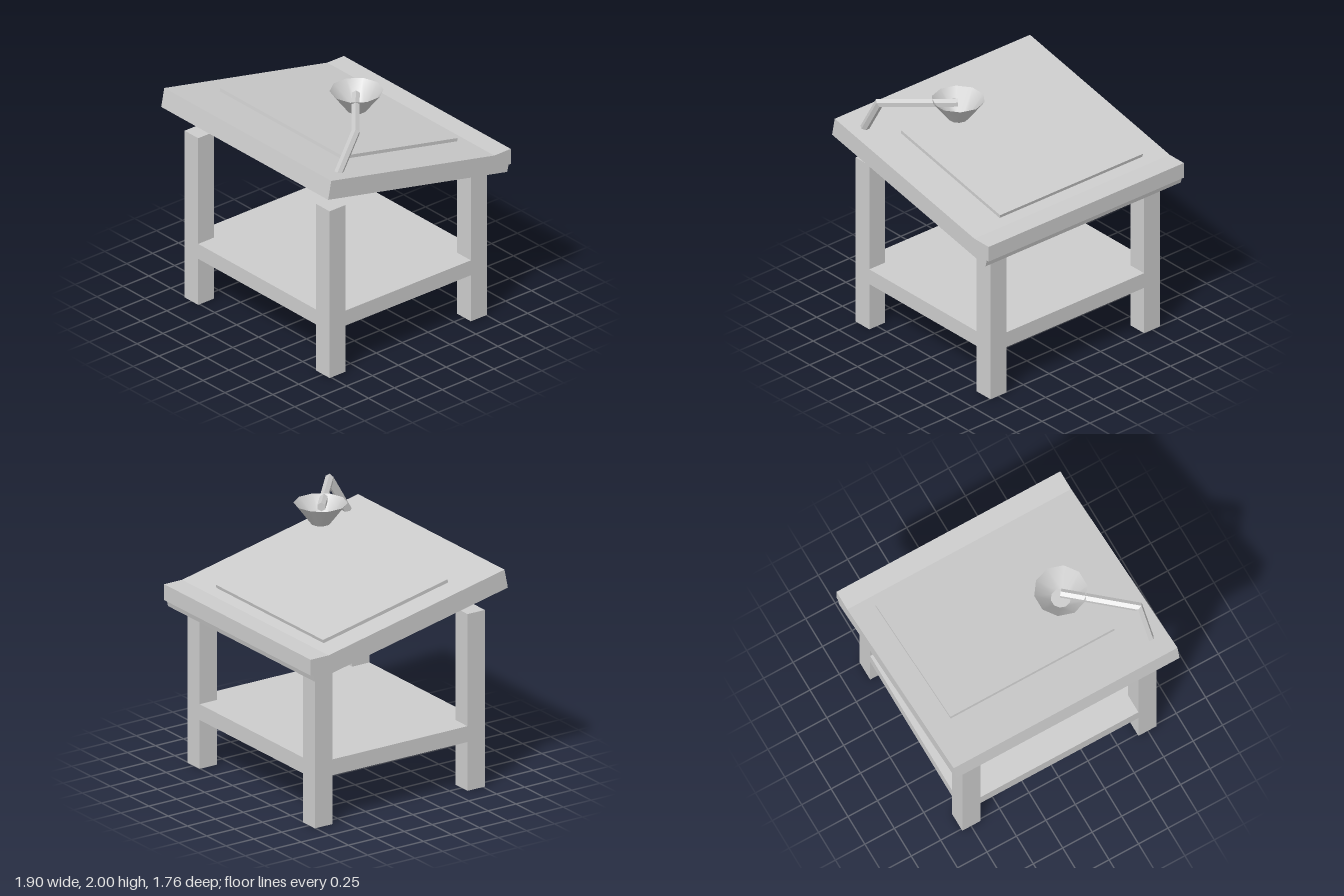
import * as THREE from 'three';

const grey = new THREE.MeshStandardMaterial({ color: 0xcccccc, side: THREE.DoubleSide });
grey.name = 'plain grey';

function addMesh(parent, name, geometry) {
  const mesh = new THREE.Mesh(geometry, grey);
  mesh.name = name;
  parent.add(mesh);
  return mesh;
}

const shapeOf = (pts) => new THREE.Shape(pts.map(([a, b]) => new THREE.Vector2(a, b)));

// Side profile of (z, y) points, extruded across from x0 to x1
function acrossX(profile, x0, x1) {
  const g = new THREE.ExtrudeGeometry(shapeOf(profile), { depth: x1 - x0, bevelEnabled: false });
  g.rotateY(-Math.PI / 2);
  g.translate(x1, 0, 0);
  return g;
}

// Mitred prism with a regular section following a polyline
function mitredRod(path, radius, sides) {
  const dirs = path.slice(1).map((p, i) => p.clone().sub(path[i]).normalize());
  const u = new THREE.Vector3(1, 0, 0);
  const v = new THREE.Vector3().crossVectors(dirs[0], u).normalize();
  const rings = [];
  for (let i = 0; i < path.length; i++) {
    const along = dirs[Math.max(i - 1, 0)];
    const normal = along.clone().add(dirs[Math.min(i, dirs.length - 1)]).normalize();
    const ring = [];
    for (let k = 0; k < sides; k++) {
      const a = (k / sides) * Math.PI * 2;
      const p = i === 0
        ? path[0].clone().addScaledVector(u, radius * Math.cos(a)).addScaledVector(v, radius * Math.sin(a))
        : rings[i - 1][k].clone();
      // slide the point along the rod onto the joint plane
      const t = path[i].clone().sub(p).dot(normal) / along.dot(normal);
      ring.push(p.addScaledVector(along, t));
    }
    rings.push(ring);
  }
  const pos = [];
  const tri = (...pts) => pts.forEach((p) => pos.push(p.x, p.y, p.z));
  const last = rings.length - 1;
  for (let k = 0; k < sides; k++) {
    const n = (k + 1) % sides;
    for (let i = 0; i < last; i++) {
      const [a, b, c, d] = [rings[i][k], rings[i][n], rings[i + 1][n], rings[i + 1][k]];
      tri(a, b, c);
      tri(a, c, d);
    }
    tri(path[0], rings[0][n], rings[0][k]);
    tri(path[last], rings[last][k], rings[last][n]);
  }
  const g = new THREE.BufferGeometry();
  g.setAttribute('position', new THREE.Float32BufferAttribute(pos, 3));
  g.computeVertexNormals();
  return g;
}

export function createModel() {
  const model = new THREE.Group();
  model.name = 'draftingTable';

  // Four square legs
  const legHeight = 1.393;
  for (const [sx, sideName] of [[1, 'left'], [-1, 'right']]) {
    for (const [z, endName] of [[0.6875, 'Front'], [-0.6775, 'Back']]) {
      const leg = addMesh(model, `${sideName}${endName}Leg`, new THREE.BoxGeometry(0.155, legHeight, 0.155));
      leg.position.set(sx * 0.7475, legHeight / 2, z);
    }
  }

  // Low shelf, flush with the legs and notched around them
  const [xo, xi, zf, zfi, zb, zbi] = [0.825, 0.67, 0.765, 0.61, -0.755, -0.6];
  const shelf = new THREE.ExtrudeGeometry(shapeOf([
    [-xi, -zf], [xi, -zf], [xi, -zfi], [xo, -zfi], [xo, -zbi], [xi, -zbi],
    [xi, -zb], [-xi, -zb], [-xi, -zbi], [-xo, -zbi], [-xo, -zfi], [-xi, -zfi],
  ]), { depth: 0.125, bevelEnabled: false });
  shelf.rotateX(-Math.PI / 2);
  shelf.translate(0, 0.385, 0);
  addMesh(model, 'shelf', shelf);

  // Sloping top with a level ledge at its low edge
  addMesh(model, 'tableTop', acrossX([
    [0.885, 1.582], [0.855, 1.73], [-0.72, 1.395], [-0.88, 1.395],
    [-0.88, 1.27], [-0.858, 1.27], [-0.845, 1.215],
  ], -0.95, 0.95));

  // Thin drawing board lying on the slope
  addMesh(model, 'drawingBoard', acrossX([
    [0.482, 1.645], [0.476, 1.676], [-0.638, 1.439], [-0.632, 1.408],
  ], -0.76, 0.63));

  // Lamp: bent hexagonal arm and an upturned open shade
  const lamp = new THREE.Group();
  lamp.name = 'lamp';
  model.add(lamp);
  addMesh(lamp, 'lampArm', mitredRod([
    new THREE.Vector3(0.818, 1.53, 0.76),
    new THREE.Vector3(0.818, 1.965, 0.508),
    new THREE.Vector3(0.375, 1.965, 0.13),
  ], 0.034, 6));
  const shade = addMesh(lamp, 'lampShade', new THREE.CylinderGeometry(0.2, 0.075, 0.16, 10, 1, true));
  shade.position.set(0.378, 1.92, 0.125);
  const base = addMesh(lamp, 'lampShadeBase', new THREE.CircleGeometry(0.075, 10, Math.PI / 2));
  base.rotation.x = Math.PI / 2;
  base.position.set(0.378, 1.84, 0.125);

  return model;
}
